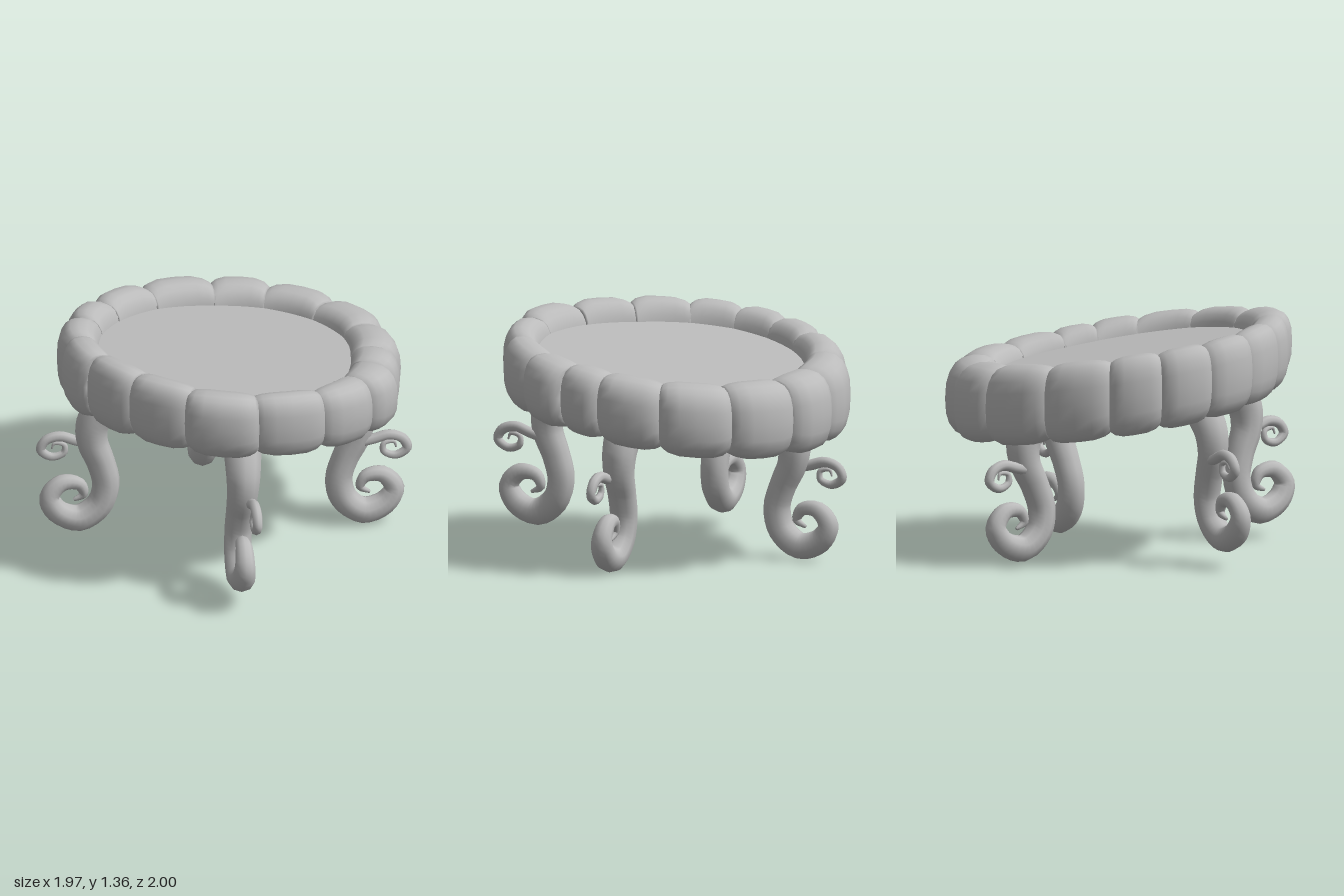
import * as THREE from 'three';

const grey = new THREE.MeshStandardMaterial({ color: 0xbbbbbb });
grey.name = 'grey';
const { lerp, degToRad } = THREE.MathUtils;

// Skin a list of closed rings (arrays of Vector3) with smooth normals and closed ends
function loft(rings) {
  const n = rings[0].length, last = (rings.length - 1) * n, pos = [], idx = [];
  rings.forEach(ring => ring.forEach(p => pos.push(p.x, p.y, p.z)));
  for (let i = 0; i < rings.length - 1; i++) {
    for (let j = 0; j < n; j++) {
      const k = (j + 1) % n, a = i * n + j, b = i * n + k;
      idx.push(a, b, a + n, b, b + n, a + n);
    }
  }
  for (let j = 1; j < n - 1; j++) idx.push(0, j + 1, j, last, last + j, last + j + 1);
  const g = new THREE.BufferGeometry();
  g.setAttribute('position', new THREE.Float32BufferAttribute(pos, 3));
  g.setIndex(idx);
  g.computeVertexNormals();
  return g;
}

function add(parent, geometry, name) {
  const mesh = new THREE.Mesh(geometry, grey);
  mesh.name = name;
  parent.add(mesh);
  return mesh;
}

// Tapered tube along a flat path of [offset, height, radius]
// (offset is measured per axis, so the diagonal reach is sqrt 2 times as long)
function taperedCurl(path, steps, sides) {
  const curve = new THREE.CatmullRomCurve3(path.map(p => new THREE.Vector3(p[0] * Math.SQRT2, p[1], 0)));
  const rings = [];
  for (let i = 0; i <= steps; i++) {
    const t = i / steps, c = curve.getPoint(t), d = curve.getTangent(t);
    const f = t * (path.length - 1), k = Math.min(Math.floor(f), path.length - 2);
    const r = lerp(path[k][2], path[k + 1][2], f - k);
    const ring = [];
    for (let j = 0; j < sides; j++) {
      const a = j / sides * Math.PI * 2, n = Math.cos(a) * r;
      ring.push(new THREE.Vector3(c.x - d.y * n, c.y + d.x * n, Math.sin(a) * r));
    }
    rings.push(ring);
  }
  return loft(rings);
}

const rounded = v => Math.sign(v) * Math.pow(Math.abs(v), 0.78);

// One puffy rim block between two angles (degrees), with the inner radius at each end
function rimBlock(from, to, innerFrom, innerTo, outer) {
  const sides = 20, rings = [];
  const mid = degToRad((from + to) / 2), half = degToRad((to - from) / 2) + 0.012;
  const halfHeight = 0.215 - 0.02 * Math.sin(mid);
  for (const u of [-1, -0.92, -0.76, -0.45, 0, 0.45, 0.76, 0.92, 1]) {
    const pinch = Math.pow(Math.abs(u), 4), t = mid + u * half;
    const inner = lerp(innerFrom, innerTo, (u + 1) / 2);
    const width = (outer - inner) * (1 - 0.25 * pinch);
    const height = halfHeight * (1 - 0.18 * pinch);
    const ring = [];
    for (let j = 0; j < sides; j++) {
      const a = j / sides * Math.PI * 2;
      const r = inner + width * (0.5 + 0.5 * rounded(Math.cos(a)));
      const x = r * Math.cos(t), z = r * Math.sin(t);
      const y = 1.025 - 0.14 * x + 0.038 * z + height * rounded(Math.sin(a));
      ring.push(new THREE.Vector3(x, y, z));
    }
    rings.push(ring);
  }
  return loft(rings);
}

export function createModel() {
  const model = new THREE.Group();
  model.name = 'table';

  // Tilted round top
  const top = add(model, new THREE.CylinderGeometry(0.8, 0.78, 0.24, 48), 'tableTop');
  top.position.set(-0.05, 1.017, 0);
  top.rotation.set(-0.03, 0, -0.139);

  // Uneven puffy blocks around the edge: start angle, inner radius there, outer radius
  const rim = new THREE.Group();
  rim.name = 'rim';
  model.add(rim);
  const blocks = [
    [-98, 0.75, 1.0], [-74, 0.725, 1.0], [-46.5, 0.68, 1.0], [-24, 0.69, 0.99],
    [2, 0.685, 0.99], [28, 0.67, 0.96], [53, 0.645, 0.95], [70, 0.67, 1.005],
    [88, 0.72, 1.01], [111, 0.79, 1.01], [136, 0.79, 1.05], [160, 0.76, 0.99],
    [184, 0.73, 0.99], [207, 0.765, 1.025], [226, 0.785, 1.03], [244, 0.77, 1.015]];
  blocks.forEach(([from, inner, outer], i) => {
    const next = blocks[(i + 1) % blocks.length];
    const to = next[0] < from ? next[0] + 360 : next[0];
    add(rim, rimBlock(from, to, inner, next[1], outer), 'rimBlock');
  });

  // Four legs ending in scrolls, each with a small tendril
  const legs = new THREE.Group();
  legs.name = 'legs';
  legs.position.set(-0.15, 0.045, 0);
  legs.rotation.z = -0.073;
  model.add(legs);
  const legShape = taperedCurl([
    [0.44, 0.93, 0.115], [0.49, 0.83, 0.112], [0.545, 0.69, 0.1], [0.545, 0.57, 0.09],
    [0.505, 0.43, 0.082], [0.48, 0.29, 0.08], [0.505, 0.16, 0.08], [0.585, 0.08, 0.079],
    [0.675, 0.125, 0.07], [0.71, 0.22, 0.06], [0.66, 0.305, 0.05], [0.59, 0.295, 0.038],
    [0.57, 0.23, 0.026], [0.61, 0.195, 0.01]], 52, 10);
  const tendrilShape = taperedCurl([
    [0.55, 0.53, 0.032], [0.615, 0.555, 0.032], [0.675, 0.58, 0.031], [0.73, 0.555, 0.03],
    [0.75, 0.495, 0.028], [0.705, 0.45, 0.025], [0.655, 0.475, 0.021], [0.655, 0.525, 0.016],
    [0.695, 0.535, 0.011], [0.705, 0.5, 0.005]], 40, 8);
  for (const sx of [1, -1]) {
    for (const sz of [1, -1]) {
      const facing = yaw => Math.atan2(-sz * Math.sin(yaw), sx * Math.cos(yaw));
      const leg = new THREE.Group();
      leg.name = 'leg';
      add(leg, legShape, 'scrollLeg').rotation.y = facing(0.775);
      add(leg, tendrilShape, 'tendril').rotation.y = facing(0.825);
      legs.add(leg);
    }
  }
  return model;
}
